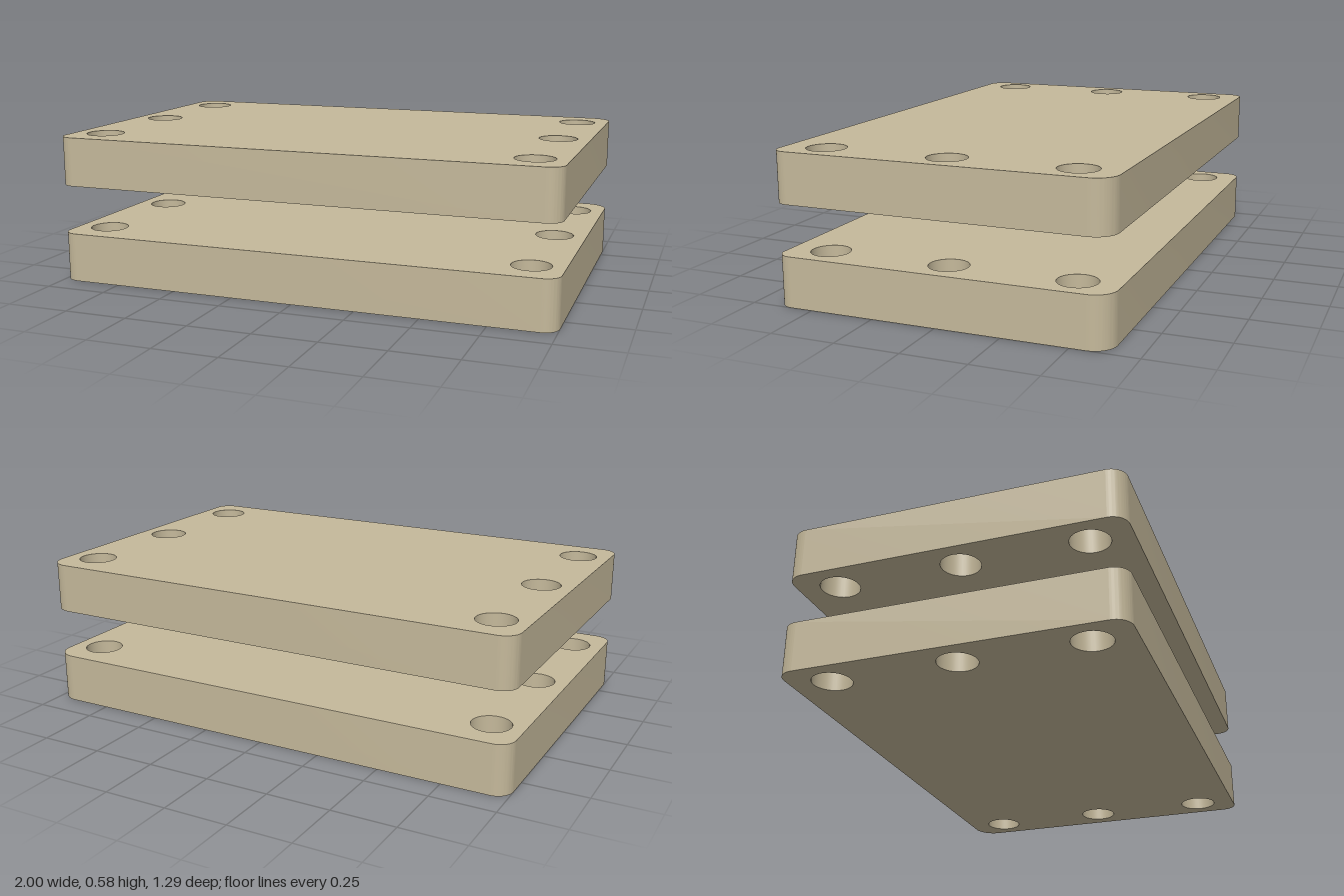
import * as THREE from 'three';
import { toCreasedNormals } from 'three/addons/utils/BufferGeometryUtils.js';

const HALF_X = 1, HALF_Z = 0.645, THICKNESS = 0.195;
const HOLE_RADIUS = 0.075, HOLE_X = 0.874, HOLE_Z = 0.486;

// Rounded rectangle outline with bolt holes; shape y becomes -z once laid flat
function plateShape() {
  const shape = new THREE.Shape();
  const corners = [ // centre signs, radius, start angle
    [1, 1, 0.085, 0],
    [-1, 1, 0.065, Math.PI / 2],
    [-1, -1, 0.065, Math.PI],
    [1, -1, 0.06, Math.PI * 1.5],
  ];
  for (const [sx, sy, r, a] of corners) {
    shape.absarc(sx * (HALF_X - r), sy * (HALF_Z - r), r, a, a + Math.PI / 2, false);
  }
  shape.closePath();

  // Three holes along each short side
  for (const x of [-HOLE_X, HOLE_X]) {
    for (const y of [-HOLE_Z, 0, HOLE_Z]) {
      const hole = new THREE.Path();
      hole.absarc(x, y, HOLE_RADIUS, 0, Math.PI * 2, true);
      shape.holes.push(hole);
    }
  }
  return shape;
}

export function createModel() {
  const group = new THREE.Group();
  group.name = 'platePair';
  const material = new THREE.MeshStandardMaterial({ color: 0xc4b89a });

  const extruded = new THREE.ExtrudeGeometry(plateShape(), {
    depth: THICKNESS, bevelEnabled: false, curveSegments: 20,
  });
  extruded.rotateX(-Math.PI / 2);
  const geometry = toCreasedNormals(extruded, Math.PI / 6);

  // Two identical plates, one plate thickness apart
  ['lowerPlate', 'upperPlate'].forEach((name, i) => {
    const plate = new THREE.Mesh(geometry, material);
    plate.name = name;
    plate.position.y = i * 2 * THICKNESS;
    group.add(plate);
  });
  return group;
}
